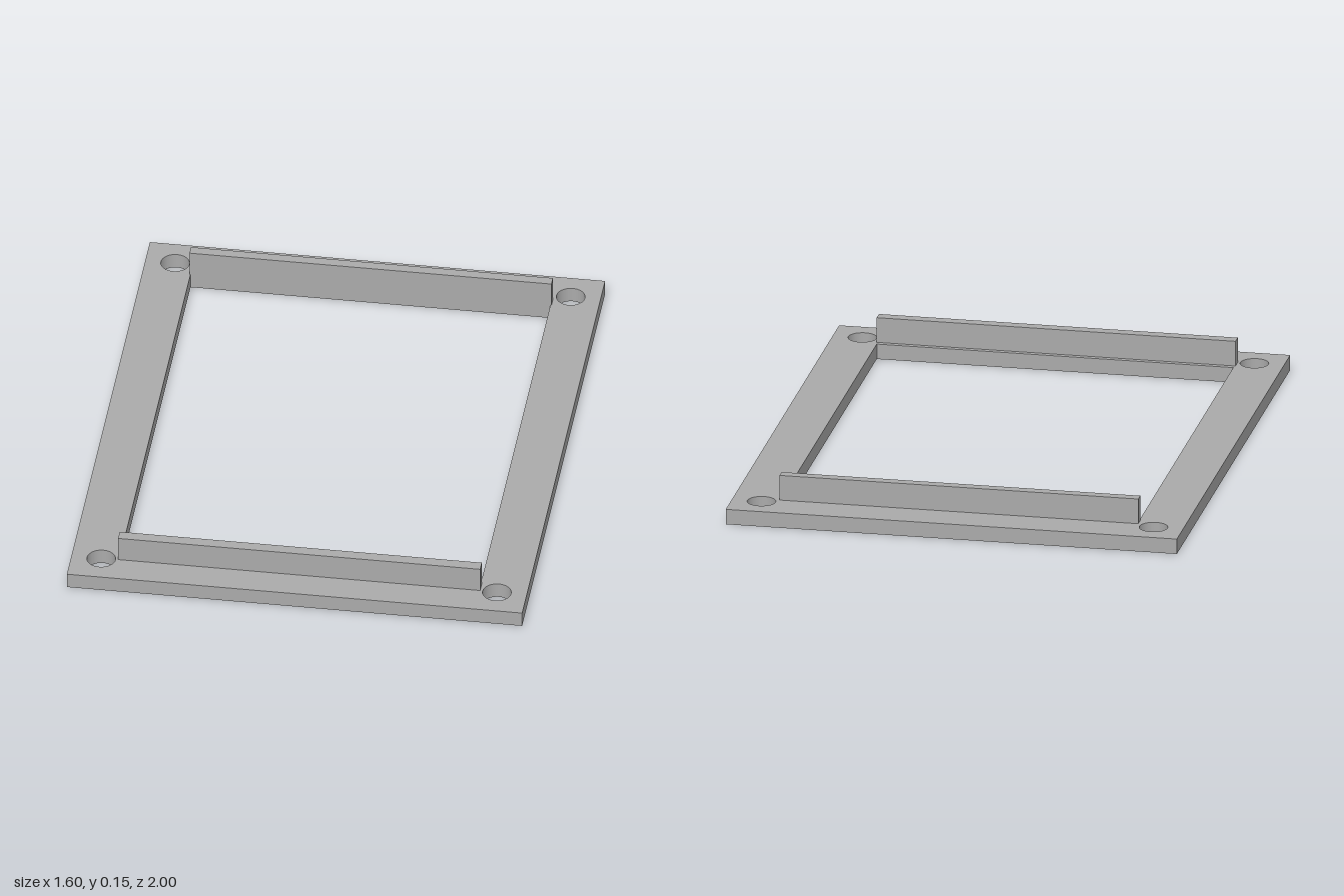
import * as THREE from 'three';

const FRAME_H = 0.055, RAIL_TOP = 0.146, OPEN_Z = 0.83;

// Adds a rectangle centred on the origin to a path
function rect(path, x, y) {
  path.moveTo(-x, -y);
  path.lineTo(x, -y);
  path.lineTo(x, y);
  path.lineTo(-x, y);
  path.closePath();
  return path;
}

export function createModel() {
  const group = new THREE.Group();
  const grey = new THREE.MeshStandardMaterial({ color: 0xaaaaaa });
  grey.name = 'grey';

  // Flat frame with a large opening and four corner holes
  const shape = rect(new THREE.Shape(), 0.802, 1);
  shape.holes.push(rect(new THREE.Path(), 0.634, OPEN_Z));
  for (const x of [-0.697, 0.697]) {
    for (const y of [-0.89, 0.89]) {
      shape.holes.push(new THREE.Path().absarc(x, y, 0.05, 0, Math.PI * 2, true));
    }
  }
  const frameGeo = new THREE.ExtrudeGeometry(shape, { depth: FRAME_H, bevelEnabled: false, curveSegments: 32 });
  frameGeo.rotateX(-Math.PI / 2);
  const frame = new THREE.Mesh(frameGeo, grey);
  frame.name = 'frame';
  group.add(frame);

  // Upright rails: the back one is flush with the opening, the front one set back from it
  const addRail = (name, z0, z1) => {
    const h = RAIL_TOP - FRAME_H;
    const rail = new THREE.Mesh(new THREE.BoxGeometry(1.276, h, z1 - z0), grey);
    rail.position.set(0, FRAME_H + h / 2, (z0 + z1) / 2);
    rail.name = name;
    group.add(rail);
  };
  addRail('frontRail', 0.848, 0.888);
  addRail('backRail', -0.866, -OPEN_Z);

  return group;
}
